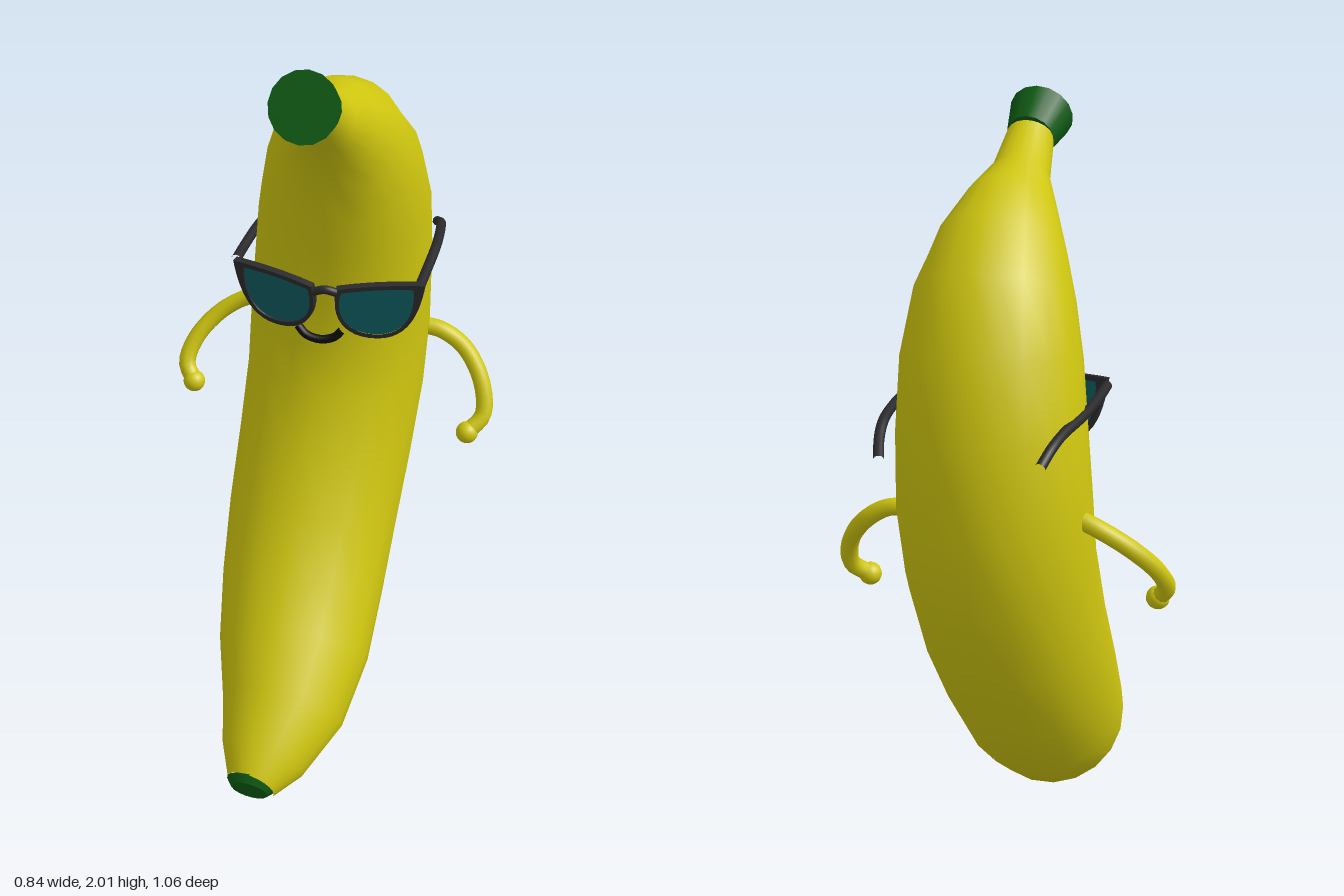
import * as THREE from 'three';

const mat = (color, side = THREE.FrontSide) => new THREE.MeshStandardMaterial({ color, side });
const V = (p) => new THREE.Vector3(...p);

export function createModel() {
  const model = new THREE.Group();
  const yellow = mat(0xcfc60f), green = mat(0x0f5a14), black = mat(0x0a0a0a);
  const frameMat = mat(0x2a2a2c), lensMat = mat(0x0f5c60, THREE.DoubleSide);

  const add = (name, geometry, material, parent = model) => {
    const mesh = new THREE.Mesh(geometry, material);
    mesh.name = name;
    parent.add(mesh);
    return mesh;
  };
  const tube = (name, points, r, material, parent) =>
    add(name, new THREE.TubeGeometry(new THREE.CatmullRomCurve3(points.map(V)), 24, r, 10), material, parent);
  const ball = (name, p, r, material) => {
    const m = add(name, new THREE.SphereGeometry(r, 16, 12), material);
    m.position.set(...p);
    return m;
  };
  // Frustum running from point a to point b
  const frustum = (name, a, b, ra, rb, material) => {
    const A = V(a), B = V(b), d = B.clone().sub(A);
    const m = add(name, new THREE.CylinderGeometry(rb, ra, d.length(), 16), material);
    m.position.copy(A).add(B).multiplyScalar(0.5);
    m.quaternion.setFromUnitVectors(new THREE.Vector3(0, 1, 0), d.normalize());
  };

  // Body: round sections along the bent spine, as x, y, z, radius
  const spine = [
    [-0.288, 0.068, 0.5, 0.066], [-0.25, 0.098, 0.43, 0.117], [-0.19, 0.155, 0.315, 0.167],
    [-0.147, 0.25, 0.175, 0.205], [-0.11, 0.375, 0.04, 0.222], [-0.07, 0.535, -0.07, 0.232],
    [-0.025, 0.72, -0.165, 0.238], [0.01, 0.91, -0.225, 0.241], [0.025, 1.08, -0.25, 0.242],
    [0.031, 1.265, -0.235, 0.234], [0.03, 1.435, -0.197, 0.222], [0.02, 1.575, -0.135, 0.197],
    [0.0, 1.675, -0.065, 0.16], [-0.025, 1.75, 0.022, 0.115], [-0.05, 1.805, 0.11, 0.074],
    [-0.078, 1.88, 0.21, 0.06],
  ];
  const sides = 20, pos = [], idx = [];
  spine.forEach(([x, y, z, r], i) => {
    const c = new THREE.Vector3(x, y, z);
    const before = V(spine[Math.max(i - 1, 0)].slice(0, 3));
    const after = V(spine[Math.min(i + 1, spine.length - 1)].slice(0, 3));
    const t = after.sub(before).normalize();
    const s = new THREE.Vector3(1, 0, 0).addScaledVector(t, -t.x).normalize();
    const n = t.clone().cross(s);
    for (let j = 0; j < sides; j++) {
      const a = (j / sides) * Math.PI * 2;
      const p = c.clone().addScaledVector(s, r * Math.cos(a)).addScaledVector(n, r * Math.sin(a));
      pos.push(p.x, p.y, p.z);
      if (i < spine.length - 1) {
        const k = i * sides + j, l = i * sides + ((j + 1) % sides);
        idx.push(k, l, k + sides, l, l + sides, k + sides);
      }
    }
  });
  const body = new THREE.BufferGeometry();
  body.setAttribute('position', new THREE.Float32BufferAttribute(pos, 3));
  body.setIndex(idx);
  body.computeVertexNormals();
  add('body', body, yellow);

  // Green ends
  frustum('stemCap', [-0.078, 1.88, 0.21], [-0.11, 1.922, 0.295], 0.062, 0.083, green);
  frustum('bottomTip', [-0.286, 0.07, 0.496], [-0.293, 0.062, 0.513], 0.068, 0.05, green);

  // Arms with round hands
  const arms = {
    left: [[0.22, 1.045, -0.2], [0.29, 1.035, -0.175], [0.35, 0.99, -0.15], [0.39, 0.91, -0.1],
      [0.39, 0.83, -0.06], [0.345, 0.79, -0.04]],
    right: [[-0.15, 1.08, -0.33], [-0.22, 1.055, -0.365], [-0.3, 1.005, -0.375], [-0.37, 0.935, -0.355],
      [-0.397, 0.875, -0.325], [-0.38, 0.835, -0.295]],
  };
  for (const [side, path] of Object.entries(arms)) {
    tube(side + 'Arm', path, 0.023, yellow);
    ball(side + 'Hand', path[path.length - 1], 0.03, yellow);
  }

  // Face
  for (const [name, x, z, yaw] of [['leftEye', 0.1, -0.02, 0.3], ['rightEye', -0.165, -0.105, -1]]) {
    const eye = ball(name, [x, 1.235, z], 0.04, black);
    eye.scale.set(0.8, 1, 0.6);
    eye.rotation.y = yaw;
  }
  tube('smile', [[-0.108, 1.165, -0.028], [-0.088, 1.145, -0.012], [-0.052, 1.137, 0.002],
    [-0.018, 1.145, 0.007], [0.002, 1.165, 0.008]], 0.011, black);

  // Sunglasses: each rim is wider at the upper outer corner (s = outward side)
  const glasses = new THREE.Group();
  glasses.name = 'sunglasses';
  model.add(glasses);
  const outline = (path, s, w, h, corner) => {
    path.moveTo(-s * w * 0.92, h * 0.82);
    path.quadraticCurveTo(0, h * 1.04, s * (w + corner), h);
    path.bezierCurveTo(s * w * 1.04, h * 0.1, s * w * 0.85, -h, s * w * 0.08, -h);
    path.bezierCurveTo(-s * w * 0.75, -h, -s * w * 1.08, -h * 0.1, -s * w * 0.92, h * 0.82);
    return path;
  };
  const lenses = [
    ['left', 1, [0.083, 1.24, 0.042], -0.07, -0.03],
    ['right', -1, [-0.155, 1.25, -0.03], -0.56, -0.03],
  ];
  for (const [side, s, p, yaw, roll] of lenses) {
    const g = new THREE.Group();
    g.name = side + 'Lens';
    g.position.set(...p);
    g.rotation.set(0.15, yaw, roll, 'YXZ');
    glasses.add(g);
    const rim = outline(new THREE.Shape(), s, 0.108, 0.086, 0.012);
    rim.holes.push(outline(new THREE.Path(), s, 0.097, 0.073, -0.006));
    const rimGeo = new THREE.ExtrudeGeometry(rim, { depth: 0.018, bevelEnabled: false, curveSegments: 12 });
    add(side + 'Rim', rimGeo.translate(0, 0, -0.009), frameMat, g);
    add(side + 'Glass', new THREE.ShapeGeometry(outline(new THREE.Shape(), s, 0.1, 0.076, -0.003), 12), lensMat, g)
      .position.z = 0.004;
  }
  tube('bridge', [[-0.072, 1.295, 0.028], [-0.045, 1.307, 0.042], [-0.015, 1.3, 0.048]], 0.011, frameMat, glasses);
  tube('leftTemple', [[0.19, 1.305, 0.055], [0.22, 1.305, -0.03], [0.265, 1.308, -0.16],
    [0.292, 1.3, -0.27], [0.3, 1.278, -0.33], [0.3, 1.25, -0.39]], 0.013, frameMat, glasses);
  tube('rightTemple', [[-0.258, 1.325, -0.1], [-0.235, 1.322, -0.17], [-0.185, 1.32, -0.3],
    [-0.13, 1.315, -0.41], [-0.1, 1.302, -0.47], [-0.073, 1.275, -0.515]], 0.013, frameMat, glasses);

  return model;
}
